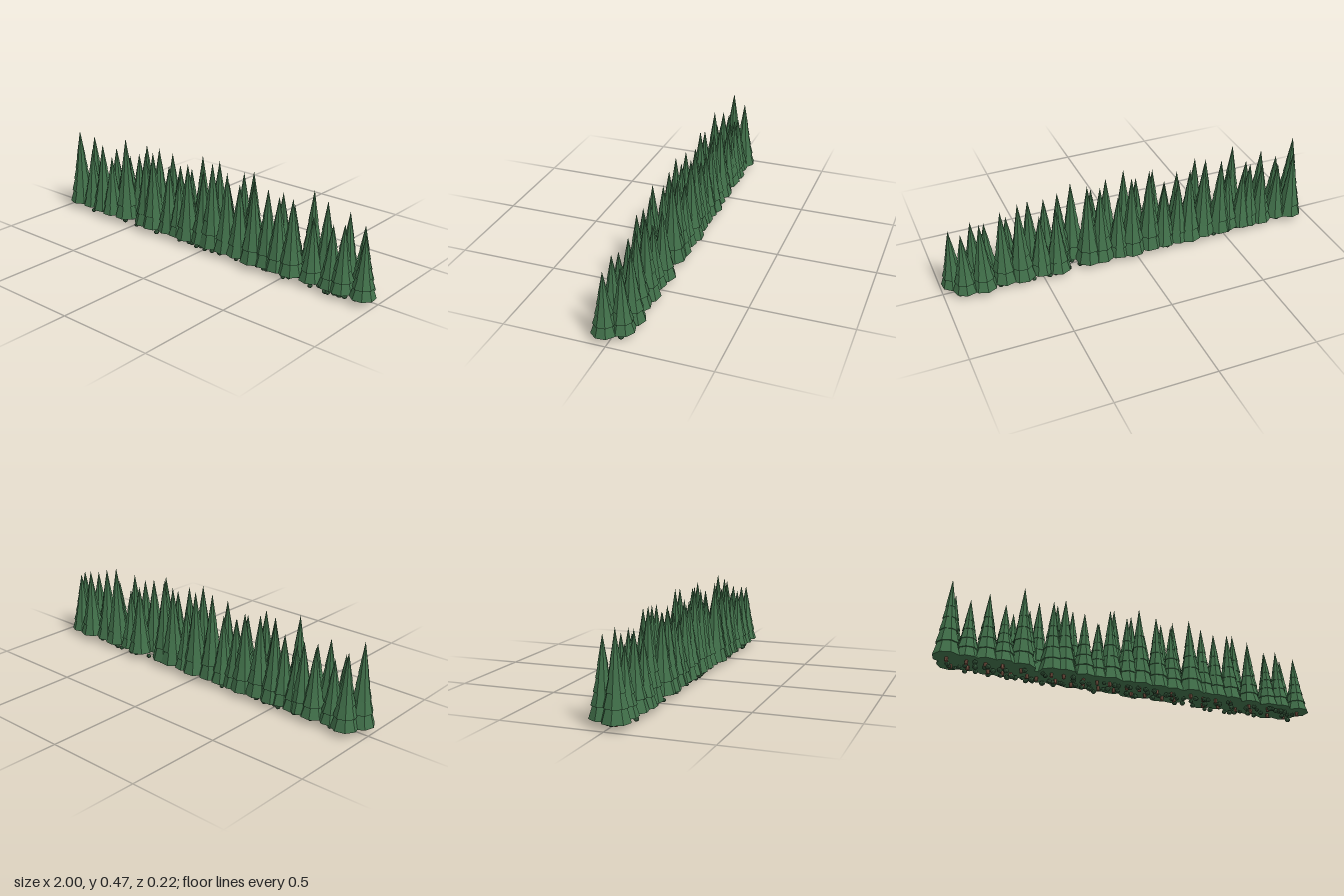
import * as THREE from 'three';

// Each tree: x, z, total height
const TREES = [
  [-0.935, 0.03, 0.44], [-0.9, -0.045, 0.4], [-0.84, 0.03, 0.35], [-0.82, -0.03, 0.34],
  [-0.75, 0.035, 0.4], [-0.72, -0.04, 0.37], [-0.67, 0.045, 0.35], [-0.65, -0.035, 0.38],
  [-0.61, -0.035, 0.35], [-0.575, 0.03, 0.47], [-0.53, -0.025, 0.38], [-0.48, -0.035, 0.44],
  [-0.425, 0.035, 0.42], [-0.385, -0.03, 0.44], [-0.365, 0.04, 0.44], [-0.3, -0.042, 0.43],
  [-0.26, 0.03, 0.39], [-0.24, -0.035, 0.38], [-0.19, 0.03, 0.35], [-0.16, -0.035, 0.38],
  [-0.125, 0.035, 0.43], [-0.08, -0.03, 0.47], [-0.03, 0.025, 0.41], [0.02, -0.043, 0.46],
  [0.035, 0.03, 0.47], [0.09, -0.035, 0.36], [0.13, 0.03, 0.44], [0.185, -0.035, 0.44],
  [0.21, 0.03, 0.4], [0.25, -0.03, 0.46], [0.31, 0.045, 0.45], [0.385, 0.03, 0.42],
  [0.42, -0.045, 0.39], [0.455, 0.035, 0.4], [0.5, -0.03, 0.35], [0.535, 0.035, 0.41],
  [0.605, -0.035, 0.45], [0.65, 0.03, 0.35], [0.69, -0.025, 0.42], [0.76, 0.03, 0.34],
  [0.8, -0.045, 0.39], [0.825, 0.035, 0.36], [0.89, -0.035, 0.35], [0.935, 0.03, 0.34],
];

// Foliage tiers as fractions of crown height: base, apex, radius
const TIERS = [
  [0, 0.58, 1], [0.16, 0.7, 0.84], [0.32, 0.81, 0.66], [0.48, 0.91, 0.5], [0.63, 1, 0.36],
];

const CROWN_BASE = 0.03;

function seeded(seed) {
  return () => {
    seed = (seed * 16807) % 2147483647;
    return seed / 2147483647;
  };
}

export function createModel() {
  const rand = seeded(4217);
  const material = (color) => new THREE.MeshStandardMaterial({ color, flatShading: true });
  const foliage = material(0x41704a);
  const bark = material(0x7a5443);
  const leaves = material(0x34563a);

  const model = new THREE.Group();
  model.name = 'treeLine';

  const addMesh = (parent, name, geometry, mat, x, y, z) => {
    const mesh = new THREE.Mesh(geometry, mat);
    mesh.name = name;
    mesh.position.set(x, y, z);
    parent.add(mesh);
    return mesh;
  };

  // Conifers: a short trunk below stacked, overlapping cones
  for (const [x, z, height] of TREES) {
    const tree = new THREE.Group();
    tree.name = 'conifer';
    tree.position.set(x, 0, z);
    tree.rotation.y = rand() * Math.PI;
    model.add(tree);

    addMesh(tree, 'trunk', new THREE.CylinderGeometry(0.007, 0.009, 0.06, 6), bark, 0, 0.04, 0);

    const crown = height - CROWN_BASE;
    const radius = 0.042 + 0.062 * height;
    for (const [base, apex, r] of TIERS) {
      const h = (apex - base) * crown;
      const cone = new THREE.ConeGeometry(radius * r, h, 8);
      addMesh(tree, 'foliageTier', cone, foliage, 0, CROWN_BASE + base * crown + h / 2, 0);
    }
  }

  // Undergrowth: small faceted bushes scattered beneath the trees
  const bushShape = new THREE.IcosahedronGeometry(1, 1);
  const bushes = 100;
  for (let i = 0; i < bushes; i++) {
    const x = -0.93 + (1.86 * (i + rand() * 0.8)) / bushes;
    const z = (rand() * 2 - 1) * 0.068;
    const r = 0.011 + rand() * 0.004;
    const bush = addMesh(model, 'bush', bushShape, leaves, x, r * 0.85, z);
    bush.scale.set(r, r * 0.85, r);
    bush.rotation.y = rand() * Math.PI;
  }

  return model;
}
